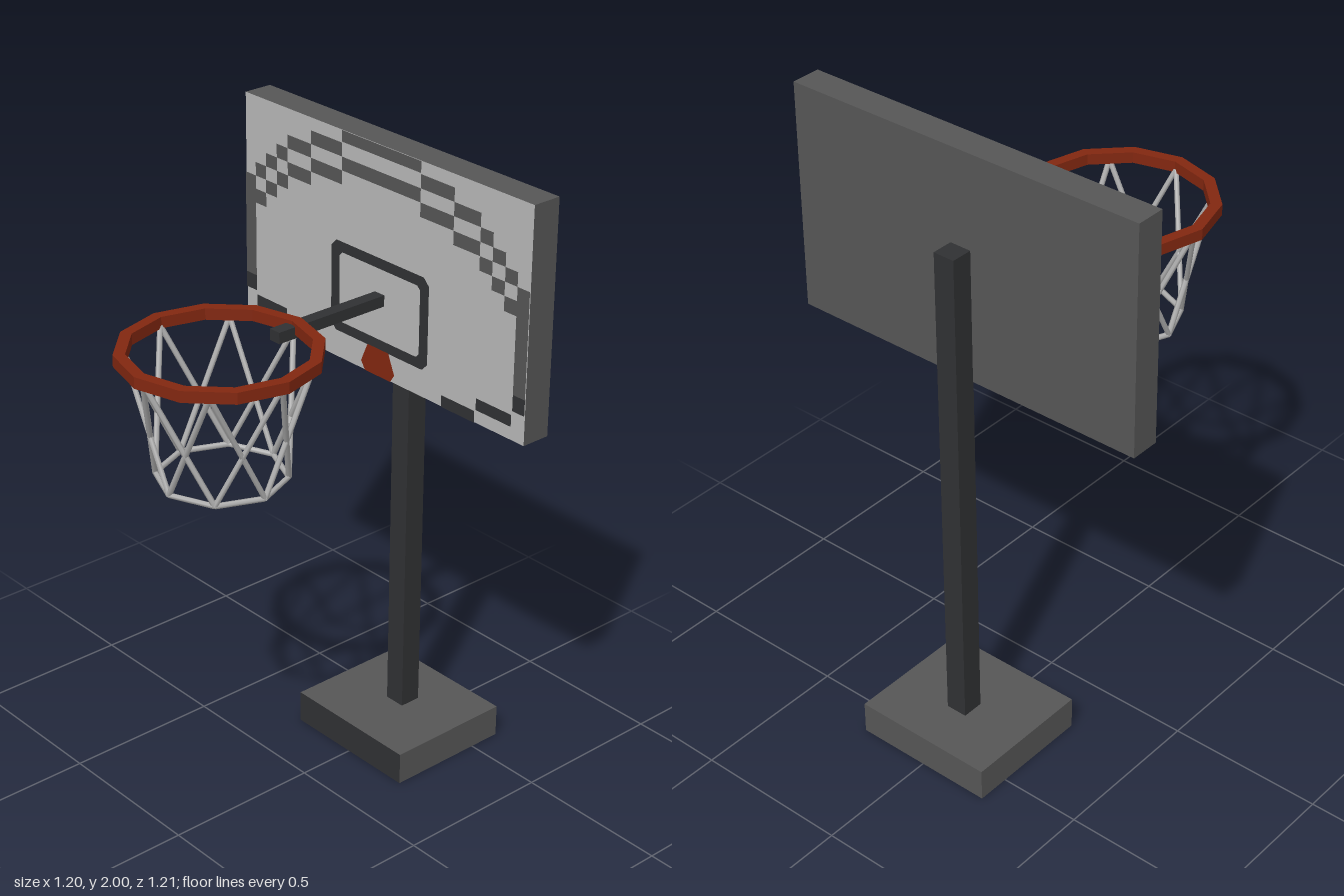
import * as THREE from 'three';

const material = (name, color) => {
  const m = new THREE.MeshStandardMaterial({ color });
  m.name = name;
  return m;
};

export function createModel() {
  const dark = material('charcoal', 0x303133);
  const grey = material('grey', 0x565656);
  const light = material('light grey', 0xb8b8b8);
  const orange = material('rim orange', 0x822710);
  const netGrey = material('net grey', 0xb0b0b0);
  orange.flatShading = true;

  const model = new THREE.Group();
  model.name = 'basketballHoop';

  const add = (name, geometry, mat, parent = model) => {
    const mesh = new THREE.Mesh(geometry, mat);
    mesh.name = name;
    parent.add(mesh);
    return mesh;
  };
  // Box given by its minimum and maximum corners
  const box = (name, [x0, y0, z0], [x1, y1, z1], mat) => {
    const g = new THREE.BoxGeometry(x1 - x0, y1 - y0, z1 - z0);
    g.translate((x0 + x1) / 2, (y0 + y1) / 2, (z0 + z1) / 2);
    return add(name, g, mat);
  };
  // Box materials with a different front (+z) face
  const withFront = (body, front) => [body, body, body, body, front, body];

  // Stand, board and arm
  box('base', [-0.235, 0, -0.605], [0.235, 0.105, -0.187], withFront(grey, dark));
  box('post', [-0.035, 0.105, -0.45], [0.035, 1.705, -0.38], dark);
  box('backboard', [-0.6, 1.283, -0.382], [0.6, 2, -0.288], withFront(grey, light));
  box('arm', [-0.02, 1.512, -0.288], [0.02, 1.547, 0.11], dark);

  // Painted board markings
  const markings = new THREE.Group();
  markings.name = 'boardMarkings';
  markings.position.z = -0.285;
  model.add(markings);
  const paint = (name, x0, y0, x1, y1, mat) => {
    const g = new THREE.PlaneGeometry(x1 - x0, y1 - y0);
    g.translate((x0 + x1) / 2, (y0 + y1) / 2, 0);
    add(name, g, mat, markings);
  };

  // Stepped arch border: x range and y range, mirrored on both sides
  const arch = [
    [0, 0.165, 1.965, 2], [0, 0.165, 1.878, 1.92],
    [0.165, 0.3, 1.92, 1.962], [0.165, 0.3, 1.835, 1.878],
    [0.3, 0.405, 1.878, 1.92], [0.3, 0.405, 1.793, 1.835],
    [0.405, 0.455, 1.835, 1.878], [0.405, 0.455, 1.75, 1.793],
    [0.455, 0.505, 1.793, 1.835], [0.455, 0.505, 1.708, 1.75],
    [0.505, 0.553, 1.75, 1.793], [0.505, 0.553, 1.663, 1.708],
    [0.553, 0.6, 1.425, 1.75],
  ];
  const lowerCorner = [
    [0.553, 0.6, 1.375, 1.425],
    [0.41, 0.55, 1.325, 1.362],
    [0.27, 0.405, 1.283, 1.32],
  ];
  for (const side of [-1, 1]) {
    const mirrored = (name, mat) => ([a, b, y0, y1]) =>
      paint(name, Math.min(side * a, side * b), y0, Math.max(side * a, side * b), y1, mat);
    arch.forEach(mirrored('archMark', grey));
    lowerCorner.forEach(mirrored('lowerCornerMark', dark));
  }

  // Target frame with clipped corners
  const clippedRect = (Target, x, y0, y1, c) => new Target([
    [-x + c, y0], [x - c, y0], [x, y0 + c], [x, y1 - c],
    [x - c, y1], [-x + c, y1], [-x, y1 - c], [-x, y0 + c],
  ].map(p => new THREE.Vector2(...p)));
  const frame = clippedRect(THREE.Shape, 0.208, 1.37, 1.658, 0.022);
  frame.holes.push(clippedRect(THREE.Path, 0.172, 1.402, 1.625, 0.012));
  add('targetFrame', new THREE.ShapeGeometry(frame), dark, markings);

  // Orange patch below the frame
  const patch = new THREE.Shape([
    [-0.055, 1.284], [0.055, 1.284], [0.072, 1.31], [0.045, 1.372], [-0.045, 1.372], [-0.072, 1.31],
  ].map(p => new THREE.Vector2(...p)));
  const patchMesh = add('orangePatch', new THREE.ShapeGeometry(patch), orange, markings);
  patchMesh.position.z = 0.001;

  // Twelve-sided rim with a rectangular section
  const rimProfile = [[0.297, 1.523], [0.297, 1.558], [0.262, 1.558], [0.262, 1.523], [0.297, 1.523]]
    .map(p => new THREE.Vector2(...p));
  const rim = add('rim', new THREE.LatheGeometry(rimProfile, 12), orange);
  rim.position.z = 0.308;

  // Net: crossing strands from eight rim points to a smaller lower ring
  const net = new THREE.Group();
  net.name = 'net';
  net.position.z = 0.308;
  model.add(net);
  const node = (i, r, y) => {
    const a = (i * Math.PI) / 4;
    return new THREE.Vector3(r * Math.sin(a), y, r * Math.cos(a));
  };
  const strand = (name, a, b) => {
    const dir = b.clone().sub(a);
    const mesh = add(name, new THREE.CylinderGeometry(0.0085, 0.0085, dir.length(), 6), netGrey, net);
    mesh.position.copy(a).add(b).multiplyScalar(0.5);
    mesh.quaternion.setFromUnitVectors(new THREE.Vector3(0, 1, 0), dir.normalize());
  };
  for (let i = 0; i < 8; i++) {
    const top = node(i, 0.268, 1.53);
    strand('netStrand', top, node(i + 1, 0.19, 1.16));
    strand('netStrand', top, node(i - 1, 0.19, 1.16));
    strand('netLowerRing', node(i, 0.19, 1.16), node(i + 1, 0.19, 1.16));
  }

  return model;
}
